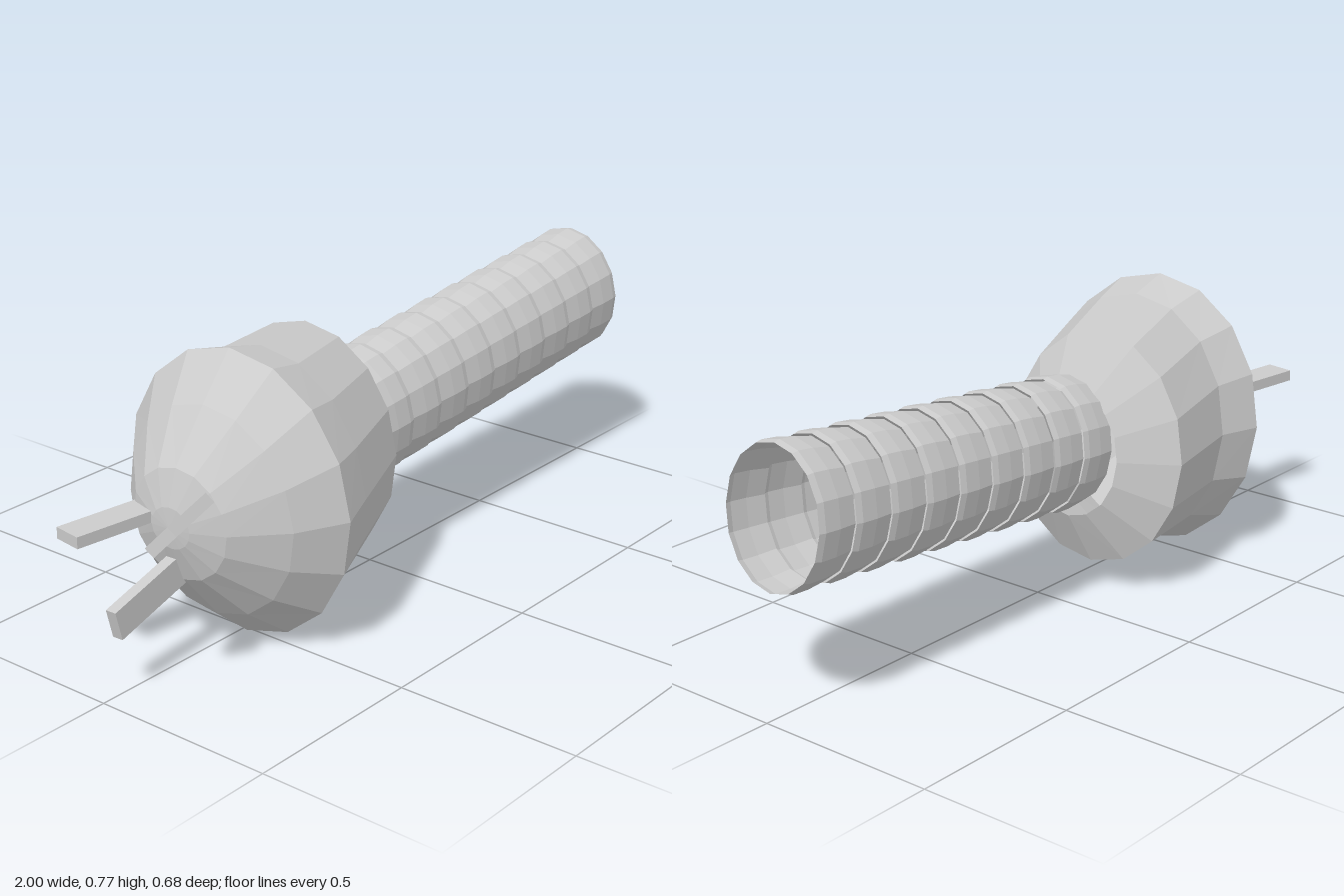
import * as THREE from 'three';

const SIDES = 16;
const material = new THREE.MeshStandardMaterial({
  color: 0xcccccc, flatShading: true, side: THREE.DoubleSide,
});

// Skin through elliptical rings [x, y, z, halfY, halfZ]; each ring leans in x by leanY and leanZ.
function loft(name, rings, leanY, leanZ) {
  const positions = [], index = [];
  for (const [x, y, z, halfY, halfZ] of rings) {
    for (let i = 0; i < SIDES; i++) {
      const a = (i / SIDES) * Math.PI * 2;
      const dy = halfY * Math.cos(a), dz = halfZ * Math.sin(a);
      positions.push(x + leanY * dy + leanZ * dz, y + dy, z + dz);
    }
  }
  for (let r = 0; r < rings.length - 1; r++) {
    for (let i = 0; i < SIDES; i++) {
      const j = (i + 1) % SIDES;
      const a = r * SIDES + i, b = r * SIDES + j;
      index.push(a, b, a + SIDES, b, b + SIDES, a + SIDES);
    }
  }
  const geometry = new THREE.BufferGeometry();
  geometry.setAttribute('position', new THREE.Float32BufferAttribute(positions, 3));
  geometry.setIndex(index);
  geometry.computeVertexNormals();
  const mesh = new THREE.Mesh(geometry, material);
  mesh.name = name;
  return mesh;
}

// Flat bar running from one point to another, its broad side along "wide".
function prong(from, to, wide) {
  const a = new THREE.Vector3(...from), b = new THREE.Vector3(...to);
  const along = b.clone().sub(a);
  const length = along.length();
  along.normalize();
  const thin = along.clone().cross(new THREE.Vector3(...wide)).normalize();
  const broad = thin.clone().cross(along);
  const mesh = new THREE.Mesh(new THREE.BoxGeometry(length, 0.08, 0.03), material);
  mesh.quaternion.setFromRotationMatrix(new THREE.Matrix4().makeBasis(along, broad, thin));
  mesh.position.copy(a).add(b).multiplyScalar(0.5);
  mesh.name = 'prong';
  return mesh;
}

export function createModel() {
  const model = new THREE.Group();
  model.name = 'prongedNozzle';

  // Hollow head: closed rounded nose, widest ring, taper and open back collar
  model.add(loft('head', [
    [-0.785, 0.385, 0.025, 0, 0],
    [-0.78, 0.385, 0.025, 0.055, 0.055],
    [-0.75, 0.385, 0.027, 0.148, 0.135],
    [-0.645, 0.383, 0.028, 0.28, 0.24],
    [-0.53, 0.387, 0.015, 0.384, 0.323],
    [-0.41, 0.393, 0.005, 0.348, 0.286],
    [-0.145, 0.394, -0.08, 0.317, 0.259],
    [-0.07, 0.393, -0.055, 0.173, 0.14],
  ], -0.052, 0.118));

  // Ribbed tube: a row of slightly barrelled open sleeves on a rising axis
  const tube = new THREE.Group();
  tube.name = 'ribbedTube';
  const ribs = 9, step = 0.119, startX = -0.09, slope = 0.092;
  const ring = (x, s) => [x, 0.422 + slope * (x - startX), -0.028, 0.184 * s, 0.156 * s];
  for (let i = 0; i < ribs; i++) {
    const x = startX + i * step;
    tube.add(loft('rib', [
      ring(x, 0.945),
      ring(x + step * 0.45, 0.99),
      ring(x + step * 0.85, 1),
      ring(x + step, 0.975),
    ], -slope, 0));
  }
  model.add(tube);

  // Three flat prongs splaying out of the nose
  const prongs = new THREE.Group();
  prongs.name = 'prongs';
  prongs.add(
    prong([-0.973, 0.465, 0.183], [-0.66, 0.445, 0.06], [0, 0.7, 0.7]),
    prong([-0.992, 0.4, -0.102], [-0.66, 0.4, -0.055], [0, 0, 1]),
    prong([-0.972, 0.205, 0.02], [-0.66, 0.285, 0.005], [0, 1, 0]),
  );
  model.add(prongs);

  return model;
}
